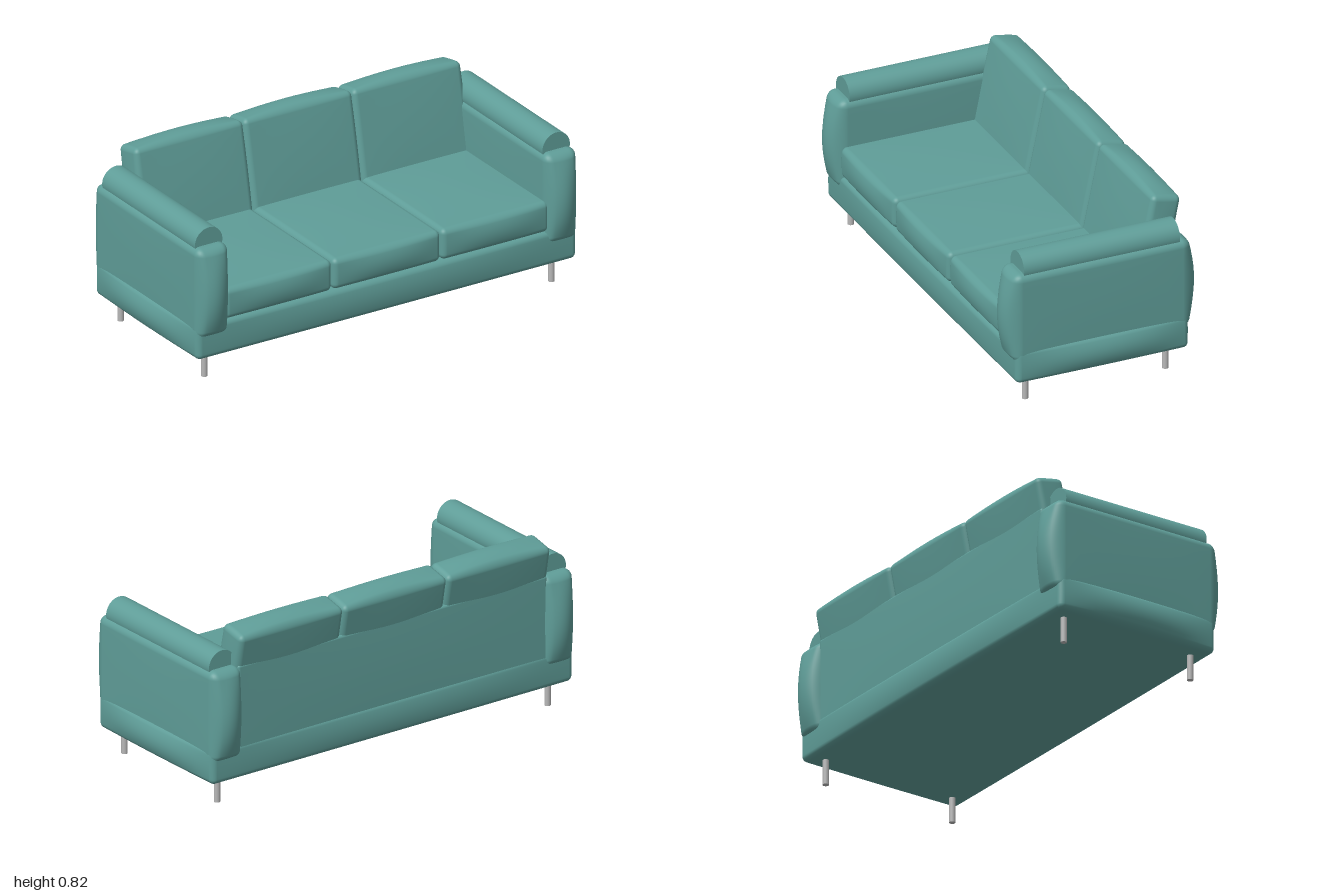
import * as THREE from 'three';
import { mergeVertices } from 'three/addons/utils/BufferGeometryUtils.js';

// Upholstered block: rounded edges, plus a pillow-like swell [x, y, z] on the faces
function softBox(w, h, d, radius, swell, n = 18) {
  let geo = new THREE.BoxGeometry(1, 1, 1, n, n, n);
  geo.deleteAttribute('uv');
  geo.deleteAttribute('normal');
  geo = mergeVertices(geo, 1e-5);
  const pos = geo.attributes.position;
  const half = new THREE.Vector3(w / 2, h / 2, d / 2);
  const p = new THREE.Vector3(), core = new THREE.Vector3();
  const inner = half.clone().subScalar(radius);
  const outer = inner.clone().negate();
  // spend grid rows on the rounded edge: outer 4 rows each side cover the radius
  const edge = 0.5 - 4 / n;
  const spread = (u, s) => {
    const a = Math.abs(u);
    const v = a <= edge
      ? (a / edge) * (s - radius)
      : s - radius + radius * Math.tan(((a - edge) / (0.5 - edge)) * Math.PI / 4);
    return Math.sign(u) * v;
  };
  for (let i = 0; i < pos.count; i++) {
    p.fromBufferAttribute(pos, i);
    p.set(spread(p.x, half.x), spread(p.y, half.y), spread(p.z, half.z));
    core.copy(p).clamp(outer, inner);
    p.sub(core).setLength(radius).add(core);
    if (core.distanceTo(p) < 1e-9) p.copy(core);
    const X = p.x / half.x, Y = p.y / half.y, Z = p.z / half.z;
    const fx = 1 - X * X, fy = 1 - Y * Y, fz = 1 - Z * Z;
    p.x += X * swell[0] * fy * fz;
    p.y += Y * swell[1] * fx * fz;
    p.z += Z * swell[2] * fx * fy;
    pos.setXYZ(i, p.x, p.y, p.z);
  }
  geo.computeVertexNormals();
  return geo;
}

export function createModel() {
  const sofa = new THREE.Group();
  sofa.name = 'sofa';
  const fabric = new THREE.MeshStandardMaterial({ color: 0x5f9d98 });
  fabric.name = 'teal fabric';
  const metal = new THREE.MeshStandardMaterial({ color: 0xb8b8b8 });
  metal.name = 'grey metal';

  const add = (name, geo, mat, x, y, z) => {
    const mesh = new THREE.Mesh(geo, mat);
    mesh.name = name;
    mesh.position.set(x, y, z);
    sofa.add(mesh);
    return mesh;
  };

  // Base and rear panel
  add('base', softBox(1.94, 0.163, 0.82, 0.025, [0.03, 0.002, 0.014]), fabric, 0, 0.198, 0);
  add('backPanel', softBox(1.66, 0.42, 0.08, 0.012, [0, 0, 0.004]), fabric, 0, 0.435, -0.37);

  // Three seat cushions and three reclined back cushions
  const seatGeo = softBox(0.55, 0.145, 0.70, 0.025, [0.003, 0.008, 0.018]);
  const backGeo = softBox(0.555, 0.455, 0.14, 0.024, [0.008, 0.02, 0.006]);
  for (const i of [-1, 0, 1]) {
    add('seatCushion', seatGeo, fabric, i * 0.555, 0.35, 0.06);
    const back = add('backCushion', backGeo, fabric, i * 0.557, 0.573, -0.322);
    back.rotation.x = -0.205;
  }

  // Arms with a bolster along the top
  const armGeo = softBox(0.162, 0.425, 0.83, 0.035, [0.004, 0.002, 0.045]);
  const rollGeo = new THREE.CylinderGeometry(0.07, 0.07, 0.74, 40);
  rollGeo.rotateX(Math.PI / 2);
  const legGeo = new THREE.CylinderGeometry(0.014, 0.014, 0.13, 20);
  for (const side of [-1, 1]) {
    add(side > 0 ? 'leftArm' : 'rightArm', armGeo, fabric, side * 0.891, 0.428, 0);
    add(side > 0 ? 'leftArmRoll' : 'rightArmRoll', rollGeo, fabric, side * 0.889, 0.65, 0);
    for (const z of [0.333, -0.333]) {
      add(z > 0 ? 'frontLeg' : 'rearLeg', legGeo, metal, side * 0.888, 0.065, z);
    }
  }
  return sofa;
}
